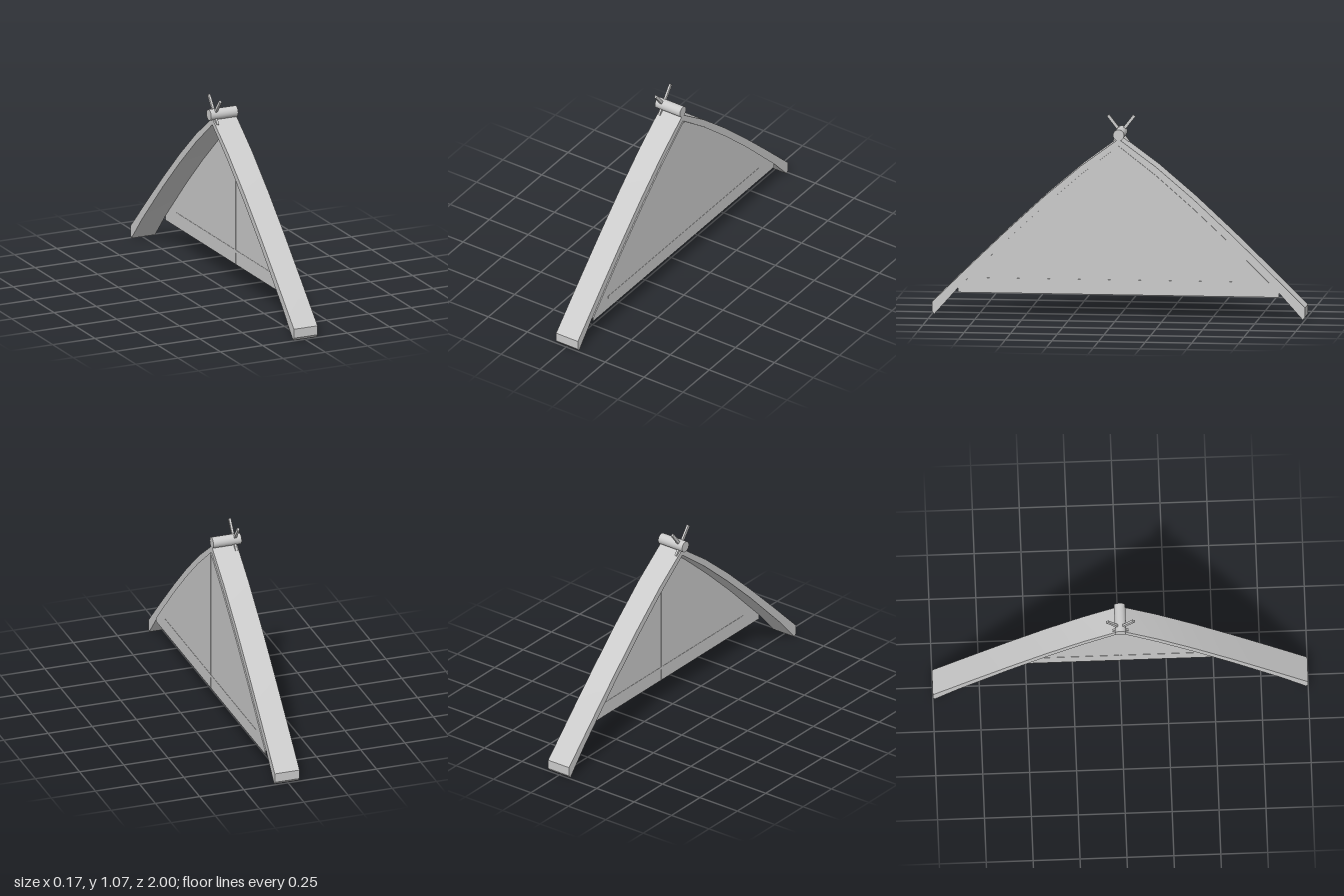
import * as THREE from 'three';
import { toCreasedNormals } from 'three/addons/utils/BufferGeometryUtils.js';

// Half profiles as [z, y], from the ridge down to the eaves
const OUTER = [[0, 0.957], [0.2, 0.81], [0.4, 0.64], [0.6, 0.455], [0.8, 0.262], [1, 0.065]];
const INNER = [[0, 0.92], [0.2, 0.765], [0.4, 0.59], [0.6, 0.403], [0.86, 0.143]];
const EAVE = [[1, 0.015], [0.988, 0]];

const mirror = (pts) => pts.map(([z, y]) => [-z, y]);

// Extrude a closed z-y outline along x, from x0 to x1
function slab(outline, x0, x1) {
  const shape = new THREE.Shape(outline.map(([z, y]) => new THREE.Vector2(-z, y)));
  const geo = new THREE.ExtrudeGeometry(shape, { depth: x1 - x0, bevelEnabled: false });
  geo.rotateY(Math.PI / 2);
  geo.translate(x0, 0, 0);
  return toCreasedNormals(geo, 0.3);
}

export function createModel() {
  const group = new THREE.Group();
  const material = new THREE.MeshStandardMaterial({ color: 0xcccccc });

  function add(name, geometry, x = 0, y = 0, z = 0) {
    const mesh = new THREE.Mesh(geometry, material);
    mesh.name = name;
    mesh.position.set(x, y, z);
    group.add(mesh);
    return mesh;
  }

  // Curved roof band running over the ridge from eave to eave
  const half = [...OUTER, ...EAVE, ...[...INNER].reverse()];
  const otherHalf = mirror(half).reverse();
  add('roofBand', slab([...half, ...otherHalf.slice(1, -1)], -0.065, 0.075));

  // Thin gable wall under the roof
  const side = [...INNER, [0.86, 0.12]];
  add('gablePanel', slab([...side, ...mirror(side).reverse().slice(0, -1)], 0.074, 0.081));

  // Slim battens on the gable wall
  add('gablePost', new THREE.BoxGeometry(0.01, 0.79, 0.008), 0.0775, 0.515, 0);
  add('gableRail', new THREE.BoxGeometry(0.01, 0.015, 1.44), 0.0775, 0.193, 0);

  // Round ridge pole
  const pole = new THREE.CylinderGeometry(0.03, 0.03, 0.16, 24);
  pole.rotateZ(Math.PI / 2);
  add('ridgePole', pole, -0.005, 0.977, 0);

  // Crossed finials through the pole
  for (const s of [1, -1]) {
    const finial = add('crossedFinial', new THREE.BoxGeometry(0.012, 0.178, 0.016), -0.051, 0.997, s * 0.016);
    finial.rotation.x = s * 0.66;
  }

  return group;
}
